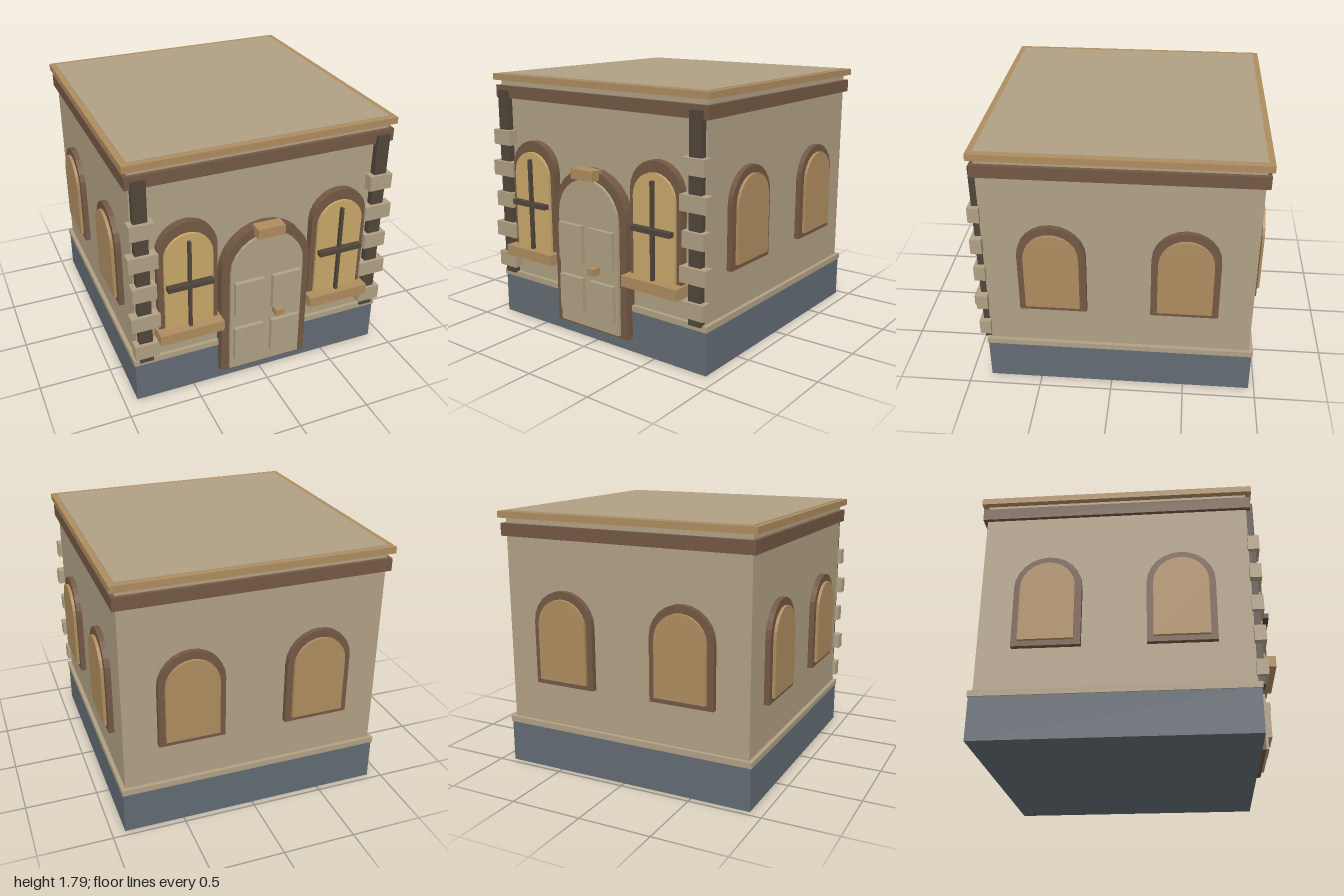
import * as THREE from 'three';

const mat = (name, color) => {
  const m = new THREE.MeshStandardMaterial({ color });
  m.name = name;
  return m;
};

export function createModel() {
  const plaster = mat('plaster', 0xb0a084);
  const slate = mat('slate', 0x626b73);
  const brown = mat('brown', 0x735844);
  const tan = mat('tan', 0xae8c5f);
  const dark = mat('darkTimber', 0x50453a);
  const gold = mat('goldGlass', 0xc9a769);

  const house = new THREE.Group();
  house.name = 'house';
  const CZ = -0.05; // centre of the walls in z
  const HALF = 0.89; // half width of the walls

  // Box given by its limits on each axis
  const box = (parent, name, m, x0, x1, y0, y1, z0, z1) => {
    const mesh = new THREE.Mesh(new THREE.BoxGeometry(x1 - x0, y1 - y0, z1 - z0), m);
    mesh.position.set((x0 + x1) / 2, (y0 + y1) / 2, (z0 + z1) / 2);
    mesh.name = name;
    parent.add(mesh);
    return mesh;
  };

  // Square slab around the walls
  const slab = (name, m, half, y0, y1) =>
    box(house, name, m, -half, half, y0, y1, CZ - half, CZ + half);

  // Round-topped plate, extruded from z0 to z1
  const arch = (parent, name, m, half, bottom, top, z0, z1) => {
    const spring = top - half;
    const s = new THREE.Shape();
    s.moveTo(-half, bottom);
    s.lineTo(half, bottom);
    s.lineTo(half, spring);
    s.absarc(0, spring, half, 0, Math.PI, false);
    s.closePath();
    const g = new THREE.ExtrudeGeometry(s, { depth: z1 - z0, bevelEnabled: false, curveSegments: 6 });
    const mesh = new THREE.Mesh(g, m);
    mesh.position.z = z0;
    mesh.name = name;
    parent.add(mesh);
    return mesh;
  };

  // Walls, base and cornices
  slab('walls', plaster, HALF, 0.01, 1.786);
  slab('plinth', slate, 0.91, 0, 0.292);
  slab('plinthBand', plaster, 0.917, 0.292, 0.332);
  slab('lowerCornice', brown, 0.917, 1.615, 1.7);
  slab('upperCornice', tan, 0.93, 1.737, 1.781);

  // Front corner posts with alternating stone blocks
  for (const side of [-1, 1]) {
    const corner = new THREE.Group();
    corner.name = side > 0 ? 'leftCorner' : 'rightCorner';
    corner.position.x = side * 0.835;
    box(corner, 'post', dark, -0.046, 0.046, 0.325, 1.67, 0.8, 0.885);
    for (let i = 0; i < 5; i++) {
      const w = i % 2 ? 0.098 : 0.081;
      const y = 0.43 + i * 0.2265;
      box(corner, 'cornerBlock', plaster, -w, w, y - 0.053, y + 0.053, 0.833, 0.909);
    }
    house.add(corner);
  }

  // Front windows
  for (const side of [-1, 1]) {
    const win = new THREE.Group();
    win.name = side > 0 ? 'leftFrontWindow' : 'rightFrontWindow';
    win.position.x = side * 0.54;
    arch(win, 'frame', brown, 0.203, 0.53, 1.338, 0.82, 0.893);
    arch(win, 'pane', gold, 0.165, 0.56, 1.264, 0.88, 0.912);
    box(win, 'uprightBar', dark, -0.01, 0.01, 0.57, 1.215, 0.905, 0.938);
    box(win, 'crossBar', dark, -0.156, 0.156, 0.882, 0.915, 0.912, 0.955);
    box(win, 'sill', tan, -0.222, 0.222, 0.498, 0.572, 0.83, 0.972);
    house.add(win);
  }

  // Door
  const door = new THREE.Group();
  door.name = 'door';
  arch(door, 'doorFrame', brown, 0.317, 0.097, 1.215, 0.82, 0.914);
  arch(door, 'doorLeaf', plaster, 0.26, 0.12, 1.15, 0.9, 0.936);
  for (const x of [-0.135, 0.135]) {
    for (const y of [0.34, 0.706]) {
      box(door, 'doorPanel', plaster, x - 0.103, x + 0.103, y - 0.127, y + 0.127, 0.93, 0.967);
    }
  }
  box(door, 'knob', tan, 0.046, 0.106, 0.523, 0.57, 0.93, 1.0);
  box(door, 'keystone', tan, -0.095, 0.095, 1.153, 1.222, 0.89, 0.981);
  house.add(door);

  // Two shuttered windows on each of the side and back walls
  const walls = [['left', Math.PI / 2], ['right', -Math.PI / 2], ['back', Math.PI]];
  for (const [name, turn] of walls) {
    const wall = new THREE.Group();
    wall.name = name + 'Windows';
    wall.position.z = CZ;
    wall.rotation.y = turn;
    for (const x of [-0.437, 0.437]) {
      const win = new THREE.Group();
      win.name = 'shutteredWindow';
      win.position.x = x;
      arch(win, 'frame', brown, 0.225, 0.623, 1.277, 0.85, 0.927);
      arch(win, 'shutter', tan, 0.181, 0.66, 1.225, 0.9, 0.948);
      wall.add(win);
    }
    house.add(wall);
  }
  return house;
}
